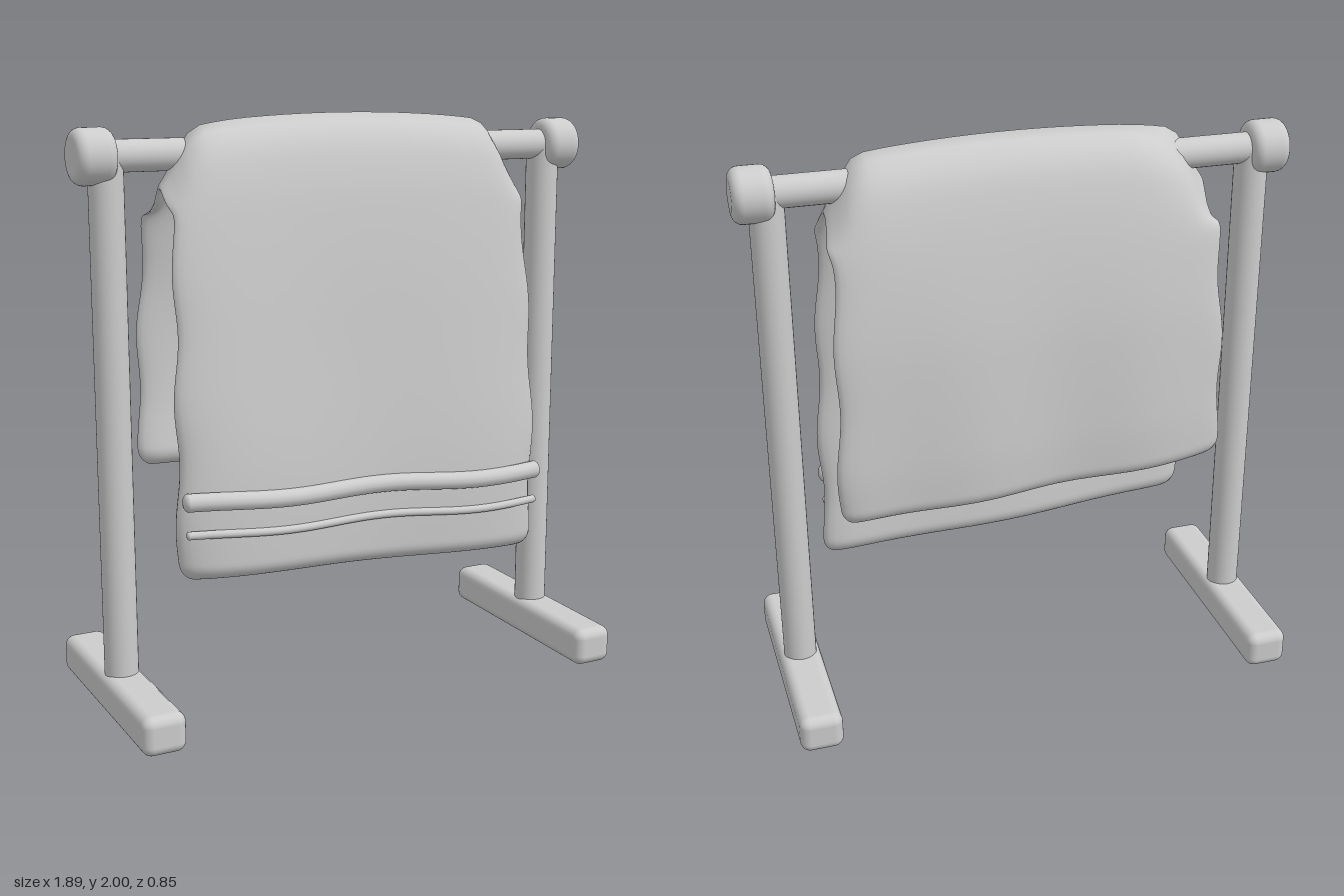
import * as THREE from 'three';
import { RoundedBoxGeometry } from 'three/addons/geometries/RoundedBoxGeometry.js';

const V = (x, y, z) => new THREE.Vector3(x, y, z);
const step = THREE.MathUtils.smoothstep;

// Sideways ripple of the hanging cloth, stronger toward the hems
function ripple(x, y, front) {
  const w = step(2 - y, 0.2, 1.2);
  return w * 0.012 * (front ? Math.cos(6.8 * (x + 0.46)) : -Math.cos(10.5 * (x + 0.4)));
}

// Thick cloth swept over the bar from the front hem to the back hem
function clothGeometry() {
  const path = new THREE.CatmullRomCurve3([
    V(0, 0.455, 0.175), V(0, 0.8, 0.187), V(0, 1.2, 0.172), V(0, 1.6, 0.135),
    V(0, 1.8, 0.104), V(0, 1.91, 0.066), V(0, 1.96, 0), V(0, 1.91, -0.068),
    V(0, 1.8, -0.11), V(0, 1.4, -0.175), V(0, 1.0, -0.188), V(0, 0.77, -0.175),
  ]);
  path.arcLengthDivisions = 1000;
  const rows = 120, half = 28, ring = half * 2, length = path.getLength();
  const pos = [], index = [];
  for (let i = 0; i <= rows; i++) {
    const t = (1 - Math.cos(Math.PI * i / rows)) / 2;
    const p = path.getPointAt(t), d = path.getTangentAt(t);
    const fromEnd = Math.min(t, 1 - t) * length;
    const q = 1 - Math.min(1, fromEnd / 0.06);
    const cap = Math.sqrt(Math.max(0, 1 - q * q));
    const thick = (0.039 + 0.022 * step(1.3 - p.y, 0, 0.8)) * Math.max(cap, 0.01);
    const low = step(2 - p.y, 0.2, 1.2), front = t < 0.56;
    const width = 0.66 + 0.026 * low - 0.05 * (1 - cap);
    for (let j = 0; j < ring; j++) {
      const outer = j < half;
      const v = outer ? -1 + 2 * j / half : 1 - 2 * (j - half) / half;
      const u = Math.sin(v * Math.PI / 2);
      const n = (outer ? 1 : -1) * thick * Math.sqrt(Math.max(0, 1 - Math.pow(Math.abs(u), 9)));
      const edge = u * u * u;
      const x = u * width + edge * 0.008 * Math.sin(t * 41 + Math.sign(u));
      let y = p.y - d.z * n, z = p.z + d.y * n;
      // The crown sags at the corners, more so at the back of one end
      const sag = 0.035 * (x / 0.6) ** 2 + 0.14 * step(Math.abs(x), 0.53, 0.67)
        + 0.06 * step(-x, 0.36, 0.6) * step(-z, -0.04, 0.06);
      y -= sag * step(y, 1.6, 1.98);
      y -= 0.05 * x * low;
      z += ripple(x, p.y, front);
      pos.push(x, y, z);
    }
  }
  for (let i = 0; i < rows; i++) for (let j = 0; j < ring; j++) {
    const k = (j + 1) % ring;
    const a = i * ring + j, b = i * ring + k, c = b + ring, e = a + ring;
    index.push(a, b, c, a, c, e);
  }
  const g = new THREE.BufferGeometry();
  g.setAttribute('position', new THREE.Float32BufferAttribute(pos, 3));
  g.setIndex(index);
  g.computeVertexNormals();
  return g;
}

// Rounded disc turned about x
function knobGeometry(radius, width, r) {
  const h = width / 2, pts = [new THREE.Vector2(0, -h)];
  for (const side of [-1, 1]) for (let i = 0; i <= 6; i++) {
    const a = (side < 0 ? i - 6 : i) * Math.PI / 12;
    pts.push(new THREE.Vector2(radius - r + r * Math.cos(a), side * (h - r) + r * Math.sin(a)));
  }
  pts.push(new THREE.Vector2(0, h));
  return new THREE.LatheGeometry(pts, 40).rotateZ(Math.PI / 2);
}

export function createModel() {
  const model = new THREE.Group();
  model.name = 'towelRack';
  const grey = new THREE.MeshStandardMaterial({ color: 0xcccccc });
  grey.name = 'light grey';
  const add = (name, geometry, x = 0, y = 0, z = 0, parent = model) => {
    const mesh = new THREE.Mesh(geometry, grey);
    mesh.name = name;
    mesh.position.set(x, y, z);
    parent.add(mesh);
    return mesh;
  };

  // Rack: a foot, post and knob on each side, joined by the bar
  for (const [side, s] of [['right', -1], ['left', 1]]) {
    add(side + 'Foot', new RoundedBoxGeometry(0.15, 0.135, 0.85, 5, 0.035), s * 0.833, 0.0675, 0);
    add(side + 'Post', new THREE.CylinderGeometry(0.058, 0.058, 1.77, 32), s * 0.833, 0.985, 0);
    add(side + 'Knob', knobGeometry(0.092, 0.135, 0.035), s * 0.878, 1.87, 0);
  }
  add('bar', new THREE.CylinderGeometry(0.053, 0.053, 1.7, 32).rotateZ(Math.PI / 2), 0, 1.87, 0);

  // Towel with two raised trim bands on the front
  add('towel', clothGeometry());
  for (const [name, y0, r] of [['upperTrim', 0.739, 0.031], ['lowerTrim', 0.628, 0.014]]) {
    const trim = new THREE.Group();
    trim.name = name;
    model.add(trim);
    const pts = [];
    for (let i = 0; i <= 16; i++) {
      const x = -0.67 + 1.34 * i / 16;
      const y = y0 - 0.037 * x + 0.006 * Math.sin(9 * x + 1);
      pts.push(V(x, y, 0.244 + ripple(x, y, true) - 0.008 * Math.abs(x / 0.67) ** 8));
    }
    add(name + 'Band', new THREE.TubeGeometry(new THREE.CatmullRomCurve3(pts), 64, r, 12), 0, 0, 0, trim);
    for (const p of [pts[0], pts[16]]) {
      add(name + 'End', new THREE.SphereGeometry(r, 12, 10), p.x, p.y, p.z, trim).scale.x = 0.6;
    }
  }
  return model;
}
